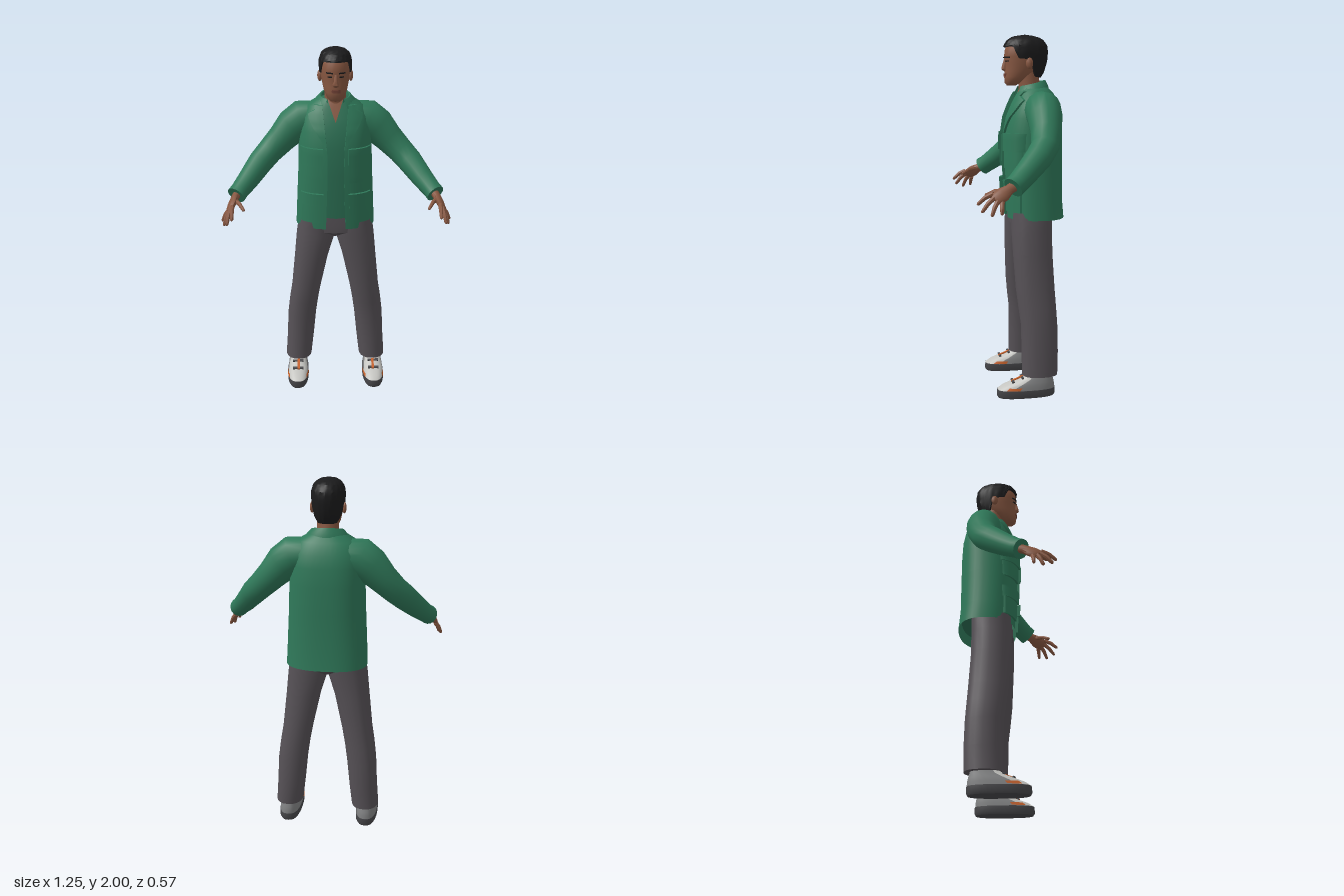
import * as THREE from 'three';
import { toCreasedNormals } from 'three/addons/utils/BufferGeometryUtils.js';

const V = (x, y, z) => new THREE.Vector3(x, y, z);
const lerp = THREE.MathUtils.lerp, step = THREE.MathUtils.smoothstep;
const mat = (name, color, side = THREE.FrontSide) => new THREE.MeshStandardMaterial({ name, color, side });

// Profiles: rows of [y, centre x, half width, front z, back z]
const TORSO = [
  [0.99, 0, 0.225, 0.045, -0.28], [1.1, 0, 0.22, 0.05, -0.27], [1.3, 0, 0.21, 0.06, -0.27],
  [1.45, 0, 0.205, 0.06, -0.27], [1.55, 0, 0.2, 0.045, -0.265], [1.62, 0, 0.19, 0.018, -0.25],
  [1.68, 0, 0.155, -0.01, -0.22], [1.72, 0, 0.09, -0.03, -0.185]];
const SHIRT = TORSO.map(([y, x, w, f, b]) => [y, x, w - 0.012, f - 0.02, b + 0.012]);
const HIPS = [[0.925, 0, 0.06, -0.02, -0.15], [0.96, 0, 0.19, 0.028, -0.2], [1.0, 0, 0.215, 0.03, -0.205], [1.1, 0, 0.2, 0.025, -0.21]];
const LEG = [
  [0.12, 0.223, 0.077, -0.01, -0.21], [0.25, 0.211, 0.08, -0.01, -0.215], [0.4, 0.2, 0.084, -0.008, -0.213],
  [0.5, 0.187, 0.085, 0.005, -0.208], [0.6, 0.17, 0.086, 0.016, -0.203], [0.8, 0.138, 0.098, 0.026, -0.195],
  [0.93, 0.112, 0.112, 0.03, -0.197], [1.03, 0.1, 0.11, 0.028, -0.2]];
const HEAD = [
  [1.722, 0, 0.025, 0.035, -0.01], [1.738, 0, 0.045, 0.048, -0.04], [1.77, 0, 0.061, 0.051, -0.1],
  [1.8, 0, 0.069, 0.05, -0.14], [1.84, 0, 0.077, 0.047, -0.165], [1.88, 0, 0.081, 0.052, -0.175],
  [1.92, 0, 0.081, 0.047, -0.175], [1.96, 0, 0.068, 0.025, -0.16], [1.985, 0, 0.035, -0.02, -0.11]];
const HAIR = [
  [1.76, 0, 0.06, 0.05, -0.15], [1.8, 0, 0.074, 0.052, -0.172], [1.84, 0, 0.083, 0.055, -0.186],
  [1.9, 0, 0.09, 0.058, -0.195], [1.94, 0, 0.087, 0.055, -0.19], [1.97, 0, 0.074, 0.036, -0.17],
  [1.99, 0, 0.048, 0.005, -0.135], [2.0, 0, 0.004, -0.06, -0.07]];
const SOLE = [[0, 0.228, 0.057, 0.128, -0.188], [0.012, 0.228, 0.063, 0.135, -0.195], [0.045, 0.228, 0.062, 0.133, -0.195]];
const SHOE = [
  [0.045, 0.228, 0.06, 0.129, -0.192], [0.065, 0.228, 0.058, 0.1, -0.192], [0.085, 0.228, 0.054, 0.045, -0.188],
  [0.105, 0.228, 0.048, -0.005, -0.182], [0.135, 0.228, 0.042, -0.04, -0.175]];

// Interpolated profile row at height y
function at(prof, y) {
  let i = 0;
  while (i < prof.length - 2 && y > prof[i + 1][0]) i++;
  const a = prof[i], b = prof[i + 1], t = THREE.MathUtils.clamp((y - a[0]) / (b[0] - a[0]), 0, 1);
  return a.map((v, k) => lerp(v, b[k], t));
}

// Point on a rounded-rectangle section; angle 0 is +x and 90 degrees is the front
function point(prof, y, ang, p = 2.4, off = 0) {
  const [, x, w, f, b] = at(prof, y), c = Math.cos(ang), s = Math.sin(ang);
  const e = v => Math.sign(v) * Math.abs(v) ** (2 / p);
  return V(x + (w + off) * e(c), y, (f + b) / 2 + ((f - b) / 2 + off) * e(s));
}
const arc = (prof, y, a0, a1, n, p, off) =>
  Array.from({ length: n + 1 }, (_, i) => point(prof, y, lerp(a0, a1, i / n), p, off));
const ring = (prof, y, n = 28, p = 2.4) => arc(prof, y, 0, Math.PI * 2, n, p).slice(0, n);

// Skin over rows of points, optionally closed around and capped at both ends
function loft(rows, closed = true, caps = closed) {
  const n = rows[0].length, pts = rows.flat(), idx = [], m = closed ? n : n - 1;
  for (let r = 0; r < rows.length - 1; r++) for (let j = 0; j < m; j++) {
    const a = r * n + j, b = r * n + (j + 1) % n;
    idx.push(a, a + n, b, b, a + n, b + n);
  }
  if (caps) [0, rows.length - 1].forEach(r => {
    const c = pts.length;
    pts.push(rows[r].reduce((s, q) => s.add(q), V(0, 0, 0)).divideScalar(n));
    for (let j = 0; j < n; j++) {
      const a = r * n + j, b = r * n + (j + 1) % n;
      r ? idx.push(c, b, a) : idx.push(c, a, b);
    }
  });
  const g = new THREE.BufferGeometry().setFromPoints(pts);
  return g.setIndex(idx);
}
const body = (prof, n, p) => loft(prof.map(r => ring(prof, r[0], n, p)));

// Limb along nodes [x, y, z, radius u, radius v]; ref is the direction of v
function limb(nodes, n = 14, ref = V(0, 0, 1)) {
  const c = nodes.map(q => V(q[0], q[1], q[2]));
  return loft(nodes.map((q, i) => {
    const t = c[Math.min(i + 1, c.length - 1)].clone().sub(c[Math.max(i - 1, 0)]).normalize();
    const u = t.clone().cross(ref).normalize(), v = u.clone().cross(t);
    return Array.from({ length: n }, (_, j) => {
      const a = j / n * Math.PI * 2;
      return c[i].clone().addScaledVector(u, Math.cos(a) * q[3]).addScaledVector(v, Math.sin(a) * (q[4] ?? q[3]));
    });
  }));
}

// Raised panel on the front of a profile, between two x edges that may vary with y
function panel(prof, y0, y1, xa, xb, off, p = 2.4, nu = 6, nv = 5) {
  const rows = [], f = v => typeof v === 'function' ? v : () => v;
  for (let i = -1; i <= nv + 1; i++) {
    const y = lerp(y0, y1, THREE.MathUtils.clamp(i / nv, 0, 1)), row = [];
    for (let j = -1; j <= nu + 1; j++) {
      const x = lerp(f(xb)(y), f(xa)(y), THREE.MathUtils.clamp(j / nu, 0, 1));
      const [, cx, w, zf, zb] = at(prof, y), k = Math.min(Math.abs((x - cx) / w), 1);
      const rim = i < 0 || j < 0 || i > nv || j > nu;
      row.push(V(x, y, (zf + zb) / 2 + (zf - zb) / 2 * (1 - k ** p) ** (1 / p) + (rim ? -0.004 : off)));
    }
    rows.push(row);
  }
  return loft(rows, false);
}

export function createModel() {
  const model = new THREE.Group();
  const green = mat('jacket green', 0x2f7859, THREE.DoubleSide), shirtGreen = mat('shirt green', 0x2c7054);
  const grey = mat('trouser charcoal', 0x565156), skin = mat('skin brown', 0x875741), lip = mat('lip brown', 0x6f4034);
  const black = mat('hair black', 0x1b1b1c), white = mat('shoe white', 0xc4c4c0, THREE.DoubleSide);
  const shoeGrey = mat('shoe grey', 0x808182), dark = mat('sole dark grey', 0x48484b);
  const orange = mat('shoe orange', 0xc4602a, THREE.DoubleSide);

  const add = (name, geo, m, crease = 0.75) => {
    const mesh = new THREE.Mesh(toCreasedNormals(geo, crease), m);
    mesh.name = name;
    model.add(mesh);
  };
  const pair = (name, geo, m, crease) => {
    const other = geo.clone().scale(-1, 1, 1);
    other.index.array.reverse();
    add(name + 'Left', geo, m, crease);
    add(name + 'Right', other, m, crease);
  };

  // Trousers
  add('trouserHips', body(HIPS), grey);
  pair('trouserLeg', body(LEG, 20, 2.3), grey);

  // Shirt with an open neck
  add('shirt', loft([1.045, 1.1, 1.3, 1.45, 1.55, 1.62, 1.68, 1.72].map(y => ring(SHIRT, y))), shirtGreen);
  add('openNeck', panel(SHIRT, 1.6, 1.715, y => -(y - 1.598) * 0.36, y => (y - 1.598) * 0.36, 0.006), skin);

  // Open jacket shell with a turned-in front edge
  const opening = y => y < 1.4 ? lerp(0.055, 0.042, (y - 1) / 0.4) : lerp(0.042, 0.075, (y - 1.4) / 0.32);
  const shell = TORSO.map(([y, , w]) => {
    const g = Math.acos((opening(y) / w) ** 1.2);
    const row = arc(TORSO, y, Math.PI - g, Math.PI * 2 + g, 40, 2.4);
    const inward = q => V(q.x, q.y, q.z - 0.03);
    return [inward(row[0]), ...row, inward(row[40])];
  });
  add('jacketBody', loft(shell, false), green);
  pair('lapel', panel(TORSO, 1.46, 1.69, opening, y => opening(y) + 0.008 + 0.075 * step(y, 1.45, 1.64) - 0.04 * step(y, 1.645, 1.66), 0.012, 2.4, 4, 10), green);

  // Turned-down collar, higher at the back
  const collar = [[1.685, 0.122, 0.1], [1.71, 0.108, 0.093], [1.735, 0.084, 0.08], [1.732, 0.076, 0.072], [1.67, 0.074, 0.068]];
  add('collar', loft(collar.map(([y, rx, rz]) => Array.from({ length: 25 }, (_, i) => {
    const a = lerp(Math.PI * 0.68, Math.PI * 2.32, i / 24), s = Math.sin(a);
    return V(rx * Math.cos(a), y - 0.018 * s, -0.1 + rz * s);
  })), false), green);

  // Four pockets with flaps
  [[1.27, 1.38, 1.365, 1.465], [1.03, 1.15, 1.135, 1.205]].forEach(([a, b, c, d], i) => {
    const tag = i ? 'lower' : 'chest';
    pair(tag + 'Pocket', panel(TORSO, a, b, 0.075, 0.19, 0.012), green);
    pair(tag + 'PocketFlap', panel(TORSO, c, d, 0.07, 0.194, 0.02), green);
  });

  // Sleeves
  pair('sleeve', limb([
    [0.09, 1.61, -0.13, 0.085, 0.09], [0.18, 1.59, -0.13, 0.108, 0.1], [0.235, 1.55, -0.13, 0.1, 0.095],
    [0.3, 1.48, -0.122, 0.083, 0.083], [0.37, 1.41, -0.102, 0.073, 0.075], [0.42, 1.36, -0.06, 0.07, 0.072],
    [0.485, 1.285, 0.02, 0.06, 0.062], [0.53, 1.238, 0.075, 0.052, 0.056], [0.548, 1.22, 0.1, 0.053, 0.056]], 16), green);

  // Hands
  const across = V(-0.4, 0.5, 0.75);
  pair('palm', limb([[0.535, 1.235, 0.08, 0.024, 0.03], [0.553, 1.212, 0.12, 0.022, 0.027],
    [0.566, 1.19, 0.155, 0.02, 0.04], [0.577, 1.17, 0.186, 0.016, 0.037], [0.581, 1.163, 0.196, 0.01, 0.03]], 12, across), skin);
  [['indexFinger', [0.562, 1.192, 0.205], [0.56, 1.14, 0.284]], ['middleFinger', [0.574, 1.175, 0.198], [0.59, 1.105, 0.265]],
    ['ringFinger', [0.583, 1.16, 0.182], [0.61, 1.086, 0.218]], ['littleFinger', [0.588, 1.152, 0.162], [0.622, 1.094, 0.168]],
    ['thumb', [0.55, 1.206, 0.145], [0.496, 1.178, 0.236]]].forEach(([name, a, b]) => {
    const mid = a.map((v, k) => lerp(v, b[k], 0.5) + (k === 1 ? 0.008 : 0));
    const near = a.map((v, k) => lerp(v, b[k], 0.92));
    pair(name, limb([[...a, 0.013], [...mid, 0.0115], [...near, 0.009], [...b, 0.004]], 8, across), skin);
  });

  // Neck and head
  add('neck', limb([[0, 1.62, -0.1, 0.068], [0, 1.7, -0.092, 0.06], [0, 1.82, -0.08, 0.058]], 18), skin);
  add('head', body(HEAD, 28, 2.15), skin, 1);
  add('nose', limb([[0, 1.808, 0.043, 0.017, 0.012], [0, 1.817, 0.051, 0.018, 0.017], [0, 1.832, 0.05, 0.011, 0.014],
    [0, 1.868, 0.044, 0.008, 0.008]], 10), skin, 1);
  add('mouth', panel(HEAD, 1.771, 1.788, y => -0.026 + Math.abs(y - 1.78), 0.026, 0.004, 2.15), lip);
  pair('eyebrow', panel(HEAD, 1.873, 1.88, 0.016, 0.052, 0.005, 2.15), black);
  pair('eye', panel(HEAD, 1.852, 1.859, 0.02, 0.044, 0.003, 2.15), black);
  const ear = new THREE.SphereGeometry(1, 12, 8).scale(0.012, 0.031, 0.02).rotateY(-0.3).translate(0.085, 1.843, -0.075);
  pair('ear', ear, skin, 1);

  // Short hair with a shaped hairline and a slightly rough surface
  const hairRows = [];
  for (let k = -1; k <= 12; k++) hairRows.push(Array.from({ length: 48 }, (_, i) => {
    const a = i / 48 * Math.PI * 2, s = Math.sin(a);
    const low = 1.768 + 0.1 * step(s, -0.65, 0.1) + 0.065 * step(s, 0.35, 0.65);
    const y = lerp(low, 2.0, 1 - (1 - Math.max(k, 0) / 12) ** 1.5);
    const rough = 0.0025 * Math.sin(i * 2.7 + k * 1.9) * Math.sin(i * 1.3 - k * 2.3);
    return point(HAIR, y, a, 2.2, k < 0 ? -0.022 : k === 12 ? 0 : rough);
  }));
  add('hair', loft(hairRows), black, 0.5);

  // Shoes
  pair('shoeSole', body(SOLE, 28, 2.6), dark);
  pair('shoeUpper', body(SHOE, 28, 2.6), shoeGrey);
  const shoeBand = (a0, a1, ys, off) => loft(ys.map(y => arc(SHOE, y, a0, a1, 12, 2.6, off)), false);
  pair('shoeToe', shoeBand(0.42, Math.PI - 0.42, [0.046, 0.065, 0.085, 0.105, 0.125], 0.003), white);
  pair('outerShoeStripe', shoeBand(0.2, 0.75, [0.047, 0.062], 0.005), orange);
  pair('innerShoeStripe', shoeBand(Math.PI - 0.75, Math.PI - 0.2, [0.047, 0.062], 0.005), orange);
  pair('shoeTongue', new THREE.BoxGeometry(0.014, 0.008, 0.075).rotateX(0.38).translate(0.225, 0.099, 0.018), orange);
  [[0.088, 0.045], [0.108, -0.008]].forEach(([y, z], i) =>
    pair('shoeLace' + (i + 1), new THREE.BoxGeometry(0.062, 0.008, 0.014).rotateX(0.38).translate(0.228, y, z), dark));
  return model;
}
